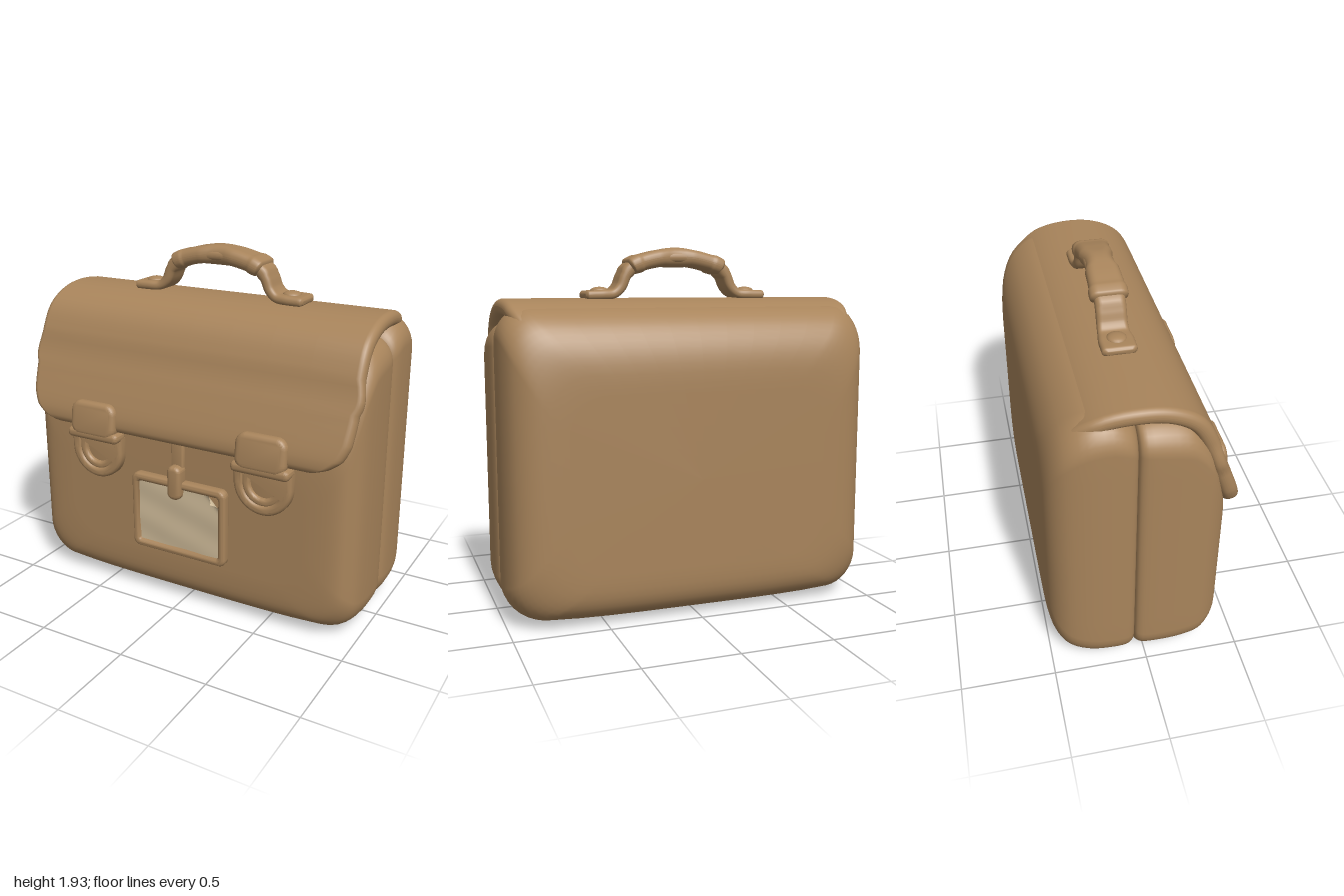
import * as THREE from 'three';
import { mergeVertices, toCreasedNormals } from 'three/addons/utils/BufferGeometryUtils.js';

const leather = new THREE.MeshStandardMaterial({ name: 'brown leather', color: 0xa8845b });
const paper = new THREE.MeshStandardMaterial({ name: 'beige paper', color: 0xcfbb99, side: THREE.DoubleSide });

function add(parent, name, geometry, material = leather) {
  const mesh = new THREE.Mesh(geometry, material);
  mesh.name = name;
  parent.add(mesh);
  return mesh;
}

// Rounded rectangle as a counterclockwise ring of [x, y], edges subdivided
function ring(w, h, r, arc = 6, edge = 8) {
  r = Math.min(r, w, h);
  const corners = [[1, 1], [-1, 1], [-1, -1], [1, -1]];
  const pts = [];
  corners.forEach(([sx, sy], c) => {
    for (let i = 0; i <= arc; i++) {
      const a = (c + i / arc) * Math.PI / 2;
      pts.push([sx * (w - r) + r * Math.cos(a), sy * (h - r) + r * Math.sin(a)]);
    }
    const [nx, ny] = corners[(c + 1) % 4];
    const a = (c + 1) * Math.PI / 2, [px, py] = pts[pts.length - 1];
    const qx = nx * (w - r) + r * Math.cos(a), qy = ny * (h - r) + r * Math.sin(a);
    for (let i = 1; i < edge; i++) pts.push([px + (qx - px) * i / edge, py + (qy - py) * i / edge]);
  });
  return pts;
}

// Skin over a list of equal rings, closed at both ends
function loft(rings) {
  const n = rings[0].length, pos = rings.flat(), index = [];
  for (let i = 0; i < rings.length - 1; i++) {
    for (let j = 0; j < n; j++) {
      const a = i * n + j, b = i * n + (j + 1) % n;
      index.push(a, b, a + n, b, b + n, a + n);
    }
  }
  [0, rings.length - 1].forEach((k) => {
    const c = pos.length;
    pos.push([0, 1, 2].map((d) => rings[k].reduce((s, p) => s + p[d], 0) / n));
    for (let j = 0; j < n; j++) {
      const a = k * n + j, b = k * n + (j + 1) % n;
      if (k) index.push(c, a, b); else index.push(c, b, a);
    }
  });
  const g = new THREE.BufferGeometry();
  g.setAttribute('position', new THREE.Float32BufferAttribute(pos.flat(), 3));
  g.setIndex(index);
  g.computeVertexNormals();
  return g;
}

// Strap along a path in XY; stations are [x, y, halfWidth along z, halfThickness]
function strap(stations, steps = 5) {
  const path = new THREE.CatmullRomCurve3(stations.map((s) => new THREE.Vector3(s[0], s[1], 0)));
  const size = new THREE.CatmullRomCurve3(stations.map((s) => new THREE.Vector3(s[2], s[3], 0)));
  const rings = [], count = (stations.length - 1) * steps;
  for (let i = 0; i <= count; i++) {
    const p = path.getPoint(i / count), t = path.getTangent(i / count), s = size.getPoint(i / count);
    rings.push(ring(s.y, s.x, s.y * 0.9).map(([n, b]) => [p.x - t.y * n, p.y + t.x * n, b]));
  }
  return loft(rings);
}

// Half of the bag; rows are [z, halfWidth, bottom, top, cornerRadius]
function shell(rows) {
  const curve = (a, b, c) => new THREE.CatmullRomCurve3(rows.map((r) => new THREE.Vector3(r[a], r[b], r[c])));
  const first = curve(0, 1, 2), second = curve(0, 3, 4), rings = [], count = (rows.length - 1) * 3;
  for (let i = 0; i <= count; i++) {
    const { x: z, y: w, z: bottom } = first.getPoint(i / count);
    const { y: top, z: r } = second.getPoint(i / count);
    const mid = (top + bottom) / 2;
    rings.push(ring(w, (top - bottom) / 2, r, 8, 10).map(([x, y]) =>
      [x, mid + y + (y < 0 ? 0.04 * x ** 4 : 0), z]));
  }
  return loft(rings);
}

// U-shaped outline: flat top at y = top, round bottom
function uOutline(target, w, top, bottom) {
  target.moveTo(-w, top);
  target.lineTo(-w, bottom + w);
  target.absarc(0, bottom + w, w, Math.PI, Math.PI * 2, false);
  target.lineTo(w, top);
  target.closePath();
  return target;
}

function roundRect(target, x0, x1, y0, y1, r) {
  target.moveTo(x0 + r, y0);
  target.absarc(x1 - r, y0 + r, r, -Math.PI / 2, 0, false);
  target.absarc(x1 - r, y1 - r, r, 0, Math.PI / 2, false);
  target.absarc(x0 + r, y1 - r, r, Math.PI / 2, Math.PI, false);
  target.absarc(x0 + r, y0 + r, r, Math.PI, Math.PI * 1.5, false);
  return target;
}

// Soft-edged plate that keeps the drawn outline
function plate(shape, depth, bevel) {
  const g = new THREE.ExtrudeGeometry(shape, {
    depth: depth - bevel * 2, bevelSize: bevel, bevelThickness: bevel, bevelOffset: -bevel,
    bevelSegments: 4, curveSegments: 14,
  });
  g.translate(0, 0, bevel);
  g.deleteAttribute('uv');
  g.deleteAttribute('normal');
  return toCreasedNormals(mergeVertices(g), 0.7);
}

export function createModel() {
  const bag = new THREE.Group();
  bag.name = 'satchel';

  // Two padded halves meeting in a groove
  add(bag, 'backHalf', shell([
    [-0.5, 0.7, 0.28, 1.2, 0.2], [-0.492, 0.83, 0.16, 1.35, 0.2], [-0.46, 0.91, 0.085, 1.46, 0.18],
    [-0.4, 0.965, 0.035, 1.55, 0.17], [-0.3, 0.995, 0.01, 1.615, 0.16], [-0.18, 1, 0.003, 1.62, 0.15],
    [-0.1, 0.992, 0.008, 1.58, 0.14], [-0.07, 0.975, 0.025, 1.55, 0.13], [-0.06, 0.95, 0.045, 1.53, 0.12],
  ]));
  add(bag, 'frontHalf', shell([
    [-0.06, 0.95, 0.045, 1.53, 0.12], [-0.05, 0.975, 0.025, 1.55, 0.13], [-0.02, 0.992, 0.008, 1.56, 0.14],
    [0.08, 1, 0, 1.56, 0.15], [0.2, 0.998, 0.008, 1.53, 0.15], [0.29, 0.985, 0.025, 1.42, 0.15],
    [0.34, 0.96, 0.05, 1.28, 0.16], [0.38, 0.92, 0.09, 1.13, 0.17], [0.4, 0.85, 0.15, 1.03, 0.18],
    [0.408, 0.72, 0.27, 0.93, 0.2],
  ]));

  // Flap from the back edge over the top and down the front
  const flap = add(bag, 'flap', strap([
    [-0.43, 1.36, 0.84, 0.02], [-0.37, 1.5, 0.9, 0.035], [-0.24, 1.595, 0.95, 0.04], [-0.05, 1.625, 0.962, 0.042],
    [0.1, 1.605, 0.964, 0.042], [0.215, 1.54, 0.965, 0.042], [0.29, 1.41, 0.966, 0.04], [0.345, 1.25, 0.966, 0.04],
    [0.395, 1.11, 0.955, 0.042], [0.42, 1.03, 0.92, 0.042], [0.428, 0.985, 0.86, 0.037],
    [0.429, 0.965, 0.8, 0.026], [0.428, 0.955, 0.74, 0.01],
  ]));
  flap.rotation.y = -Math.PI / 2;

  // Handle: strap, padded grip and rivets
  const handle = new THREE.Group();
  handle.name = 'handle';
  handle.position.z = -0.05;
  bag.add(handle);
  const mirrorPath = (half) => [...half, ...half.slice().reverse().map(([x, ...rest]) => [-x, ...rest])];
  add(handle, 'handleStrap', strap(mirrorPath([
    [-0.512, 1.68, 0.065, 0.01], [-0.495, 1.682, 0.087, 0.024], [-0.42, 1.684, 0.088, 0.025],
    [-0.355, 1.69, 0.08, 0.025], [-0.315, 1.725, 0.077, 0.028], [-0.285, 1.79, 0.077, 0.03],
    [-0.235, 1.84, 0.077, 0.03], [-0.1, 1.875, 0.077, 0.03],
  ])));
  add(handle, 'grip', strap(mirrorPath([
    [-0.262, 1.826, 0.075, 0.02], [-0.25, 1.833, 0.096, 0.044], [-0.215, 1.847, 0.097, 0.048],
    [-0.19, 1.855, 0.09, 0.044], [-0.08, 1.878, 0.086, 0.046],
  ])));
  for (const side of [-1, 1]) {
    const rivet = add(handle, 'handleRivet', new THREE.SphereGeometry(0.05, 20, 12));
    rivet.scale.y = 0.42;
    rivet.position.set(side * 0.42, 1.705, 0);
  }

  // Two buckles
  for (const side of [-1, 1]) {
    const buckle = new THREE.Group();
    buckle.name = side > 0 ? 'leftBuckle' : 'rightBuckle';
    buckle.position.x = side * 0.51;
    bag.add(buckle);
    const tabShape = roundRect(new THREE.Shape(), -0.143, 0.143, 0.92, 1.115, 0.06);
    const tab = add(buckle, 'tab', plate(tabShape, 0.09, 0.028));
    tab.position.set(0, 0.025, 0.545);
    tab.rotation.x = -0.12;
    const outer = uOutline(new THREE.Shape(), 0.163, 0.92, 0.67);
    outer.holes.push(uOutline(new THREE.Path(), 0.108, 0.905, 0.725));
    add(buckle, 'outerLoop', plate(outer, 0.075, 0.02)).position.z = 0.385;
    const inner = uOutline(new THREE.Shape(), 0.118, 0.92, 0.715);
    inner.holes.push(uOutline(new THREE.Path(), 0.075, 0.905, 0.758));
    add(buckle, 'innerLoop', plate(inner, 0.08, 0.016)).position.z = 0.37;
    add(buckle, 'buckleCentre', plate(uOutline(new THREE.Shape(), 0.085, 0.92, 0.75), 0.04, 0.006)).position.z = 0.385;
    const bar = roundRect(new THREE.Shape(), -0.163, 0.163, 0.898, 0.955, 0.025);
    add(buckle, 'crossbar', plate(bar, 0.1, 0.022)).position.z = 0.4;
    tab.position.z = 0.52;
    tab.position.y = 0;
    tab.geometry.translate(0, -0.92, -0.09);
    tab.position.set(0, 0.92, 0.505);
  }

  // Name tag frame with its hanging strap
  const tag = new THREE.Group();
  tag.name = 'nameTag';
  bag.add(tag);
  const frame = roundRect(new THREE.Shape(), -0.28, 0.3, 0.31, 0.75, 0.04);
  frame.holes.push(roundRect(new THREE.Path(), -0.238, 0.258, 0.352, 0.705, 0.015));
  add(tag, 'tagFrame', plate(frame, 0.06, 0.018)).position.z = 0.4;
  add(tag, 'tagBacking', plate(roundRect(new THREE.Shape(), -0.26, 0.28, 0.33, 0.73, 0.02), 0.03, 0.004)).position.z = 0.4;
  add(tag, 'tagStrap', plate(roundRect(new THREE.Shape(), -0.035, 0.035, 0.74, 0.99, 0.01), 0.04, 0.01)).position.z = 0.4;
  add(tag, 'tagLoop', plate(roundRect(new THREE.Shape(), -0.04, 0.042, 0.65, 0.84, 0.035), 0.085, 0.022)).position.z = 0.4;

  // Crumpled paper with its top corner curled forward
  const sheet = new THREE.PlaneGeometry(0.51, 0.37, 40, 30);
  const p = sheet.attributes.position, radius = 0.035;
  for (let i = 0; i < p.count; i++) {
    let x = p.getX(i), y = p.getY(i);
    let z = 0.004 * Math.sin(x * 17 + y * 9) * Math.sin(y * 21 - x * 8);
    if (Math.abs(y) > 0.18) y += 0.003 * Math.sin(x * 70);
    const d = (x + y - 0.335) / Math.SQRT2;
    if (d > 0) {
      const shift = (radius * Math.sin(d / radius) - d) / Math.SQRT2;
      x += shift;
      y += shift;
      z += radius * (1 - Math.cos(d / radius));
    }
    p.setXYZ(i, x, y, z);
  }
  sheet.computeVertexNormals();
  add(tag, 'paper', sheet, paper).position.set(0.01, 0.527, 0.442);
  return bag;
}
